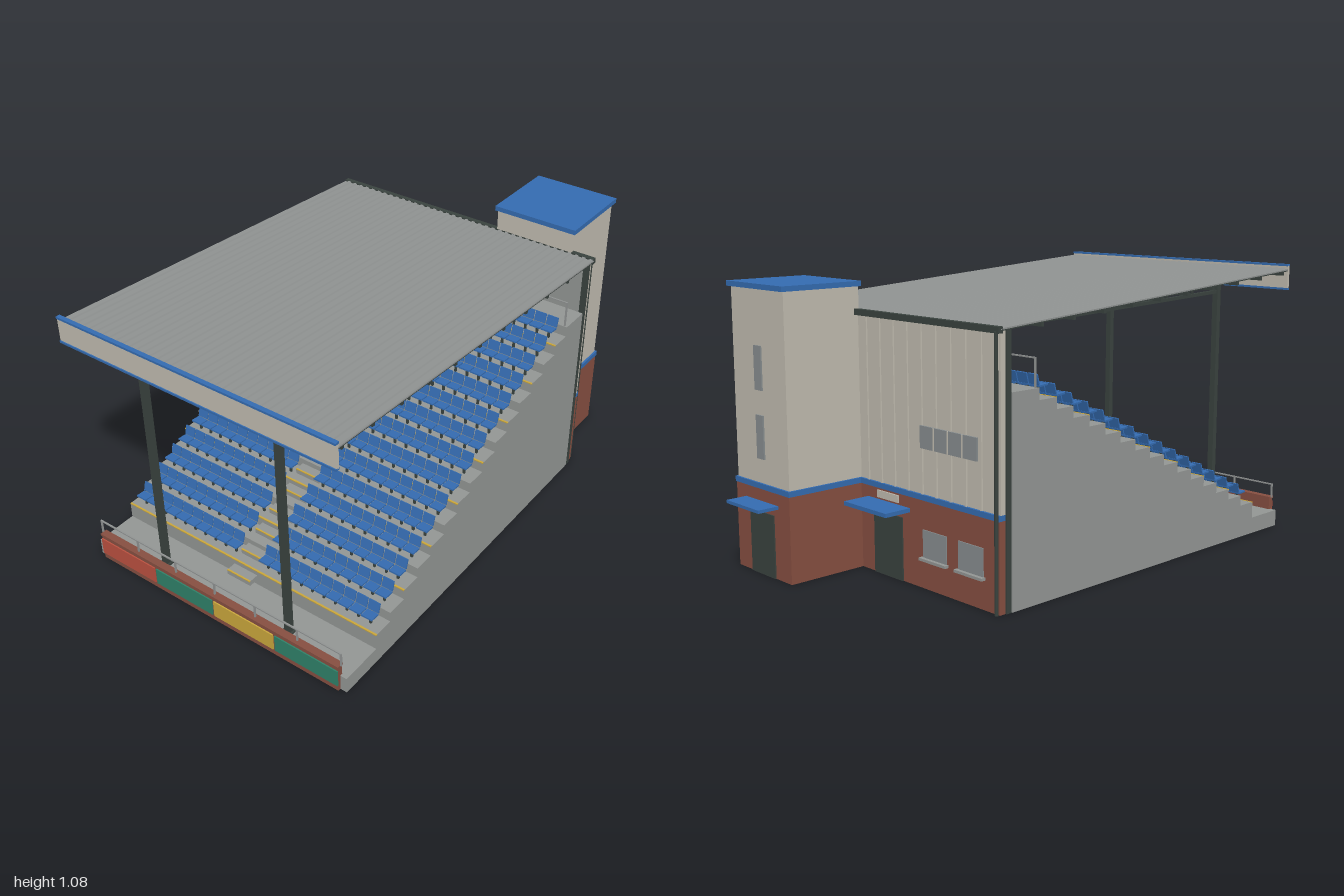
import * as THREE from 'three';
import { mergeGeometries } from 'three/addons/utils/BufferGeometryUtils.js';

const mat = (name, color) => {
  const m = new THREE.MeshStandardMaterial({ color });
  m.name = name;
  return m;
};

// Box given by its extents
const box = (x0, x1, y0, y1, z0, z1) =>
  new THREE.BoxGeometry(x1 - x0, y1 - y0, z1 - z0)
    .translate((x0 + x1) / 2, (y0 + y1) / 2, (z0 + z1) / 2);

// Square bar between two points in a plane of constant x
const bar = (x, z0, y0, z1, y1, w, h) => {
  const len = Math.hypot(z1 - z0, y1 - y0);
  return new THREE.BoxGeometry(w, h, len)
    .rotateX(-Math.atan2(y1 - y0, z1 - z0))
    .translate(x, (y0 + y1) / 2, (z0 + z1) / 2);
};

const range = (n, f) => Array.from({ length: n }, (_, i) => f(i));

export function createModel() {
  const group = new THREE.Group();
  const concrete = mat('concrete grey', 0x929593);
  const roofGrey = mat('roof sheet grey', 0x8f9291);
  const cream = mat('cladding cream', 0xbfbaae);
  const brick = mat('brick red brown', 0x854e40);
  const blue = mat('blue', 0x346bb0);
  const steel = mat('dark steel', 0x39423e);
  const yellow = mat('yellow', 0xc9a63c);
  const red = mat('panel red', 0xb9503f);
  const green = mat('panel green', 0x2f8068);
  const glass = mat('window grey', 0x868c8e);

  const add = (name, material, ...geos) => {
    const list = geos.flat().map((g) => (g.index ? g.toNonIndexed() : g));
    const mesh = new THREE.Mesh(list.length > 1 ? mergeGeometries(list) : list[0], material);
    mesh.name = name;
    group.add(mesh);
  };

  const W = 0.587, ROWS = 15, RISE = 0.0409, GOING = 0.0817;
  const rowY = (i) => 0.13 + RISE * i;
  const rowZ = (i) => 0.8 - GOING * i;

  // Stepped terrace body, profile drawn with -z to the right
  const pts = [[-0.968, 0], [-0.968, 0.065], [-0.8, 0.065]];
  for (let i = 0; i <= ROWS; i++) pts.push([-rowZ(i), rowY(i)], [-rowZ(i + 1), rowY(i)]);
  pts.pop();
  pts.push([0.55, rowY(ROWS)], [0.55, 0]);
  const profile = new THREE.Shape(pts.map(([a, b]) => new THREE.Vector2(a, b)));
  add('terrace', concrete, new THREE.ExtrudeGeometry(profile, { depth: 2 * W, bevelEnabled: false })
    .rotateY(Math.PI / 2).translate(-W, 0, 0));

  // Aisle half steps and yellow nosings
  const A = 0.054;
  add('aisleSteps', concrete, range(ROWS + 1, (i) =>
    box(-A, A, rowY(i) - RISE, rowY(i) - RISE / 2, rowZ(i) - 0.002, rowZ(i) + GOING / 2)));
  add('aisleNosings', yellow, range(ROWS + 1, (i) =>
    box(-A, A, rowY(i) - RISE / 2 - 0.003, rowY(i) - RISE / 2 + 0.001, rowZ(i) + GOING / 2 - 0.005, rowZ(i) + GOING / 2 + 0.001)));
  add('rowNosings', yellow, range(8, (k) =>
    box(-W, W, rowY(2 * k) - 0.003, rowY(2 * k) + 0.001, rowZ(2 * k) - 0.006, rowZ(2 * k) + 0.001)));

  // Seats: ten on each side of the aisle in every row
  const seatX = range(20, (k) => (k < 10 ? -1 : 1) * (0.0765 + 0.051 * (k % 10)));
  const shells = [], legs = [];
  for (let i = 0; i < ROWS; i++) {
    const y = rowY(i), z = rowZ(i);
    for (const x of seatX) {
      shells.push(bar(x, z - 0.052, y + 0.039, z - 0.013, y + 0.042, 0.046, 0.006));
      shells.push(bar(x, z - 0.054, y + 0.044, z - 0.064, y + 0.081, 0.046, 0.005));
      legs.push(box(x - 0.004, x + 0.004, y, y + 0.038, z - 0.042, z - 0.034));
    }
  }
  add('seats', blue, shells);
  add('seatLegs', steel, legs);

  // Front brick barrier with coloured panels
  add('frontBarrier', brick, box(-0.56, 0.56, 0, 0.112, 0.957, 0.979), box(-0.562, 0.562, 0.11, 0.118, 0.954, 0.983));
  [red, green, yellow, green].forEach((m, i) => {
    const x = -0.559 + 0.2815 * i;
    add('barrierPanel', m, box(x, x + 0.274, 0.026, 0.096, 0.978, 0.984));
  });

  // Hand rails at the front and behind the top row
  const rail = (name, x, n, y0, y1, z) => add(name, roofGrey,
    box(-x, x, y1 - 0.005, y1, z - 0.003, z + 0.003),
    range(n, (i) => {
      const px = -x + 0.003 + ((2 * x - 0.006) * i) / (n - 1);
      return box(px - 0.003, px + 0.003, y0, y1, z - 0.003, z + 0.003);
    }));
  rail('frontRail', 0.567, 7, 0.115, 0.173, 0.967);
  rail('topRail', 0.577, 6, 0.743, 0.845, -0.433);

  // Corrugated roof sheet, sloping down to the back
  const SLOPE = 0.066, roofY = (z) => 0.9985 + SLOPE * z;
  const RIBS = 38, pitch = (2 * W) / RIBS;
  const sheet = [new THREE.Vector2(-W, -0.01)];
  for (let i = 0; i < RIBS; i++) {
    [[0, -0.005], [0.45, -0.005], [0.55, 0], [0.9, 0]].forEach(([t, y]) =>
      sheet.push(new THREE.Vector2(-W + (i + t) * pitch, y)));
  }
  sheet.push(new THREE.Vector2(W, -0.005), new THREE.Vector2(W, -0.01));
  add('roofSheet', roofGrey, new THREE.ExtrudeGeometry(new THREE.Shape(sheet), { depth: 1.59, bevelEnabled: false })
    .rotateX(-Math.atan(SLOPE)).translate(0, roofY(-0.6), -0.6));
  add('roofUnderside', steel, bar(0, -0.6, roofY(-0.6) - 0.012, 0.985, roofY(0.985) - 0.012, 2 * W - 0.002, 0.004));
  add('purlins', steel, range(11, (i) => {
    const z = 0.96 - 0.152 * i, y = roofY(z);
    return box(-W + 0.004, W - 0.004, y - 0.028, y - 0.012, z - 0.006, z + 0.006);
  }));
  add('gutter', steel, box(-W, W, 0.938, 0.96, -0.612, -0.592));
  add('fascia', cream, box(-W, W, 0.98, 1.072, 0.985, 0.996));
  add('fasciaTrim', blue, box(-W, W, 1.07, 1.078, 0.983, 1), box(-W, W, 0.975, 0.983, 0.983, 1));

  // Main columns and roof trusses
  const trussTop = (z) => roofY(z) - 0.02;
  const trussLow = (z) => 0.921 + 0.0365 * z;
  const bays = 9, bayZ = (i) => 0.913 - (1.473 * i) / bays;
  for (const x of [-0.293, 0.293]) {
    add('column', steel, box(x - 0.0125, x + 0.0125, 0.065, 1.045, 0.902, 0.924),
      box(x - 0.02, x + 0.02, 0.065, 0.073, 0.893, 0.933));
    add('truss', steel,
      bar(x, -0.58, trussTop(-0.58), 0.97, trussTop(0.97), 0.014, 0.016),
      bar(x, -0.56, trussLow(-0.56), 0.913, trussLow(0.913), 0.014, 0.013),
      range(bays + 1, (i) => box(x - 0.004, x + 0.004, trussLow(bayZ(i)), trussTop(bayZ(i)), bayZ(i) - 0.003, bayZ(i) + 0.003)),
      range(bays, (i) => bar(x, bayZ(i), trussLow(bayZ(i)), bayZ(i + 1), trussTop(bayZ(i + 1)), 0.007, 0.006)));
  }

  // Back wall: lining, brick base, blue band, ribbed cladding
  const B = 0.58;
  add('wallLining', concrete, box(-B, B, 0.7, 0.945, -0.575, -0.562));
  add('wallBase', brick, box(-B, B, 0, 0.32, -0.6, -0.55));
  add('wallBand', blue, box(-B, B, 0.32, 0.34, -0.604, -0.57));
  add('wallCladding', cream, box(-B, B, 0.34, 0.945, -0.595, -0.575),
    range(16, (i) => box(-0.569 + 0.0755 * i, -0.561 + 0.0755 * i, 0.34, 0.94, -0.601, -0.595)));
  for (const s of [-1, 1]) {
    const x = s * 0.577;
    add('cornerPost', steel, box(x - 0.009, x + 0.009, 0, 0.955, -0.574, -0.553));
    add('downpipe', steel, new THREE.CylinderGeometry(0.007, 0.007, 0.945, 8).translate(s * 0.572, 0.4725, -0.608));
  }

  // Back wall openings
  for (const x of [-0.44, -0.255]) {
    add('wallWindow', glass, box(x - 0.062, x + 0.062, 0.115, 0.215, -0.604, -0.598));
    add('windowSill', concrete, box(x - 0.07, x + 0.07, 0.105, 0.115, -0.618, -0.598));
  }
  add('stripWindow', glass, box(-0.475, -0.185, 0.505, 0.585, -0.605, -0.598));
  add('stripWindowMullions', cream, range(3, (i) =>
    box(-0.406 + 0.0725 * i, -0.4 + 0.0725 * i, 0.505, 0.585, -0.607, -0.6)));
  add('wallDoor', steel, box(-0.08, 0.08, 0, 0.235, -0.605, -0.598));
  add('wallCanopy', blue, box(-0.12, 0.118, 0.262, 0.277, -0.71, -0.598));
  add('wallPlate', cream, box(-0.06, 0.06, 0.285, 0.312, -0.606, -0.598));

  // Stair tower
  add('towerBase', brick, box(0.158, 0.497, 0, 0.32, -0.916, -0.578));
  add('towerBand', blue, box(0.155, 0.5, 0.32, 0.34, -0.919, -0.578));
  add('towerBody', cream, box(0.163, 0.492, 0.34, 1.042, -0.911, -0.592));
  add('towerCap', blue, box(0.152, 0.503, 1.04, 1.059, -0.924, -0.587));
  for (const y of [0.43, 0.68]) add('towerWindow', glass, box(0.308, 0.352, y, y + 0.16, -0.917, -0.91));
  add('towerDoor', steel, box(0.255, 0.405, 0, 0.235, -0.921, -0.914));
  add('towerCanopy', blue, box(0.228, 0.434, 0.263, 0.275, -1, -0.914));

  return group;
}
